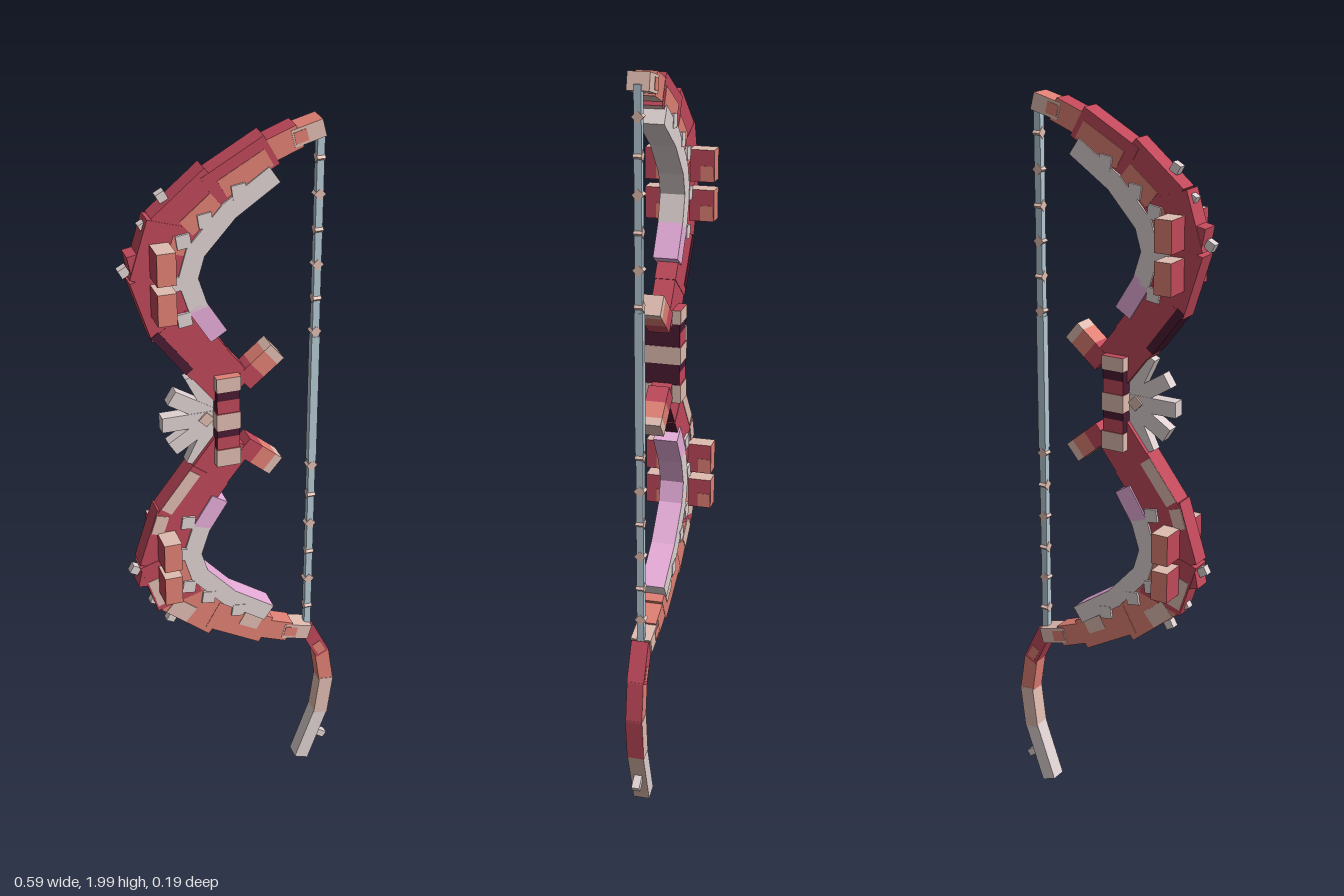
import * as THREE from 'three';

const mat = (name, color) => new THREE.MeshStandardMaterial({ name, color });

export function createModel() {
  const red = mat('crimson', 0xc0485a), salmon = mat('salmon', 0xe08074), tan = mat('tan', 0xe0bcb0);
  const bone = mat('bone', 0xe0d2d2), pink = mat('pink', 0xecb0de), dark = mat('dark plum', 0x4a1b32);
  const steel = mat('string grey', 0xb4c8d4);
  const model = new THREE.Group();
  model.name = 'bow';
  const MID = 1.23; // height of the mirror line between the two limbs

  const group = (name) => {
    const g = new THREE.Group();
    g.name = name;
    model.add(g);
    return g;
  };
  // box given by centre, size and tilt in the front plane
  const box = (parent, name, m, x, y, z, w, h, d, tilt = 0) => {
    const b = new THREE.Mesh(new THREE.BoxGeometry(w, h, d), m);
    b.name = name;
    b.position.set(x, y, z);
    b.rotation.z = tilt;
    parent.add(b);
    return b;
  };
  // straight bar from a to b; off shifts it sideways, ext lengthens both ends
  const bar = (parent, name, m, a, b, w, d, off = 0, ext = 0) => {
    const dx = b[0] - a[0], dy = b[1] - a[1], len = Math.hypot(dx, dy);
    return box(parent, name, m, (a[0] + b[0]) / 2 - dy / len * off, (a[1] + b[1]) / 2 + dx / len * off, 0,
      len + 2 * ext, w, d, Math.atan2(dy, dx));
  };
  const lerp = (a, b, t) => [a[0] + (b[0] - a[0]) * t, a[1] + (b[1] - a[1]) * t];

  // limb centre line from tip to grip, with a width per segment
  const limbPath = [[0.212, 1.976], [0.14, 1.957], [0.07, 1.93], [-0.06, 1.857], [-0.17, 1.766],
    [-0.208, 1.645], [-0.165, 1.51], [-0.085, 1.405], [-0.015, 1.315]];
  const limbWidth = [0.045, 0.06, 0.085, 0.115, 0.13, 0.13, 0.12, 0.115];
  const liningPath = [[0.085, 1.873], [-0.025, 1.798], [-0.11, 1.703], [-0.13, 1.634], [-0.105, 1.555], [-0.055, 1.475]];
  const studs = [[-0.14, 1.735], [-0.165, 1.625], [-0.14, 1.528], [-0.085, 1.782], [0, 1.845]];
  const spikes = [[-0.185, 1.845], [-0.23, 1.775], [-0.283, 1.665]];

  for (const s of [1, -1]) {
    const up = s > 0, side = up ? 'upper' : 'lower';
    const Y = (y) => MID + s * (y - MID);
    const P = (p) => [p[0], Y(p[1])];
    const limb = group(side + 'Limb');

    // overlapping limb blocks: colour of the flat, outer and inner faces
    const colours = up
      ? [[tan, salmon, tan], [salmon, red, tan], [red, red, tan], [red, red, red], [red, red, red], [red, red, red],
        [red, red, red], [red, red, red]]
      : [[tan, tan, tan], [salmon, salmon, salmon], [salmon, salmon, salmon], [salmon, salmon, salmon], [red, red, red],
        [red, red, red], [red, red, dark], [red, red, dark]];
    limbWidth.forEach((w, i) => {
      const [flat, outer, inner] = colours[i];
      const faces = [flat, flat, up ? inner : outer, up ? outer : inner, flat, flat];
      bar(limb, 'limbSegment', faces, P(limbPath[i]), P(limbPath[i + 1]), w, 0.056 - (i % 2) * 0.002, 0, i ? 0.015 : 0.004);
    });

    // painted patches showing on both faces
    const patch = (i, t0, t1, w, off, m) => {
      const a = P(limbPath[i]), b = P(limbPath[i + 1]);
      bar(limb, 'paintedPatch', m, lerp(a, b, t0), lerp(a, b, t1), w, 0.0585, off * s);
    };
    if (up) {
      patch(0, 0.55, 1.0, 0.03, 0, salmon);
      patch(2, 0.0, 0.9, 0.05, 0.012, salmon);
      patch(3, 0.1, 0.8, 0.05, 0.025, salmon);
      patch(4, 0.1, 0.45, 0.04, 0.03, salmon);
      patch(6, -0.15, 0.95, 0.024, -0.05, dark);
    } else {
      patch(0, 0.5, 1.0, 0.03, 0, salmon);
      patch(2, 0.1, 0.5, 0.04, 0.015, tan);
      patch(3, 0.5, 1.0, 0.05, -0.03, tan);
      patch(4, 0.0, 0.7, 0.06, -0.03, tan);
      patch(4, 0.3, 1.0, 0.05, 0.03, salmon);
      patch(5, 0.6, 1.0, 0.035, -0.045, tan);
      patch(6, 0.0, 1.0, 0.035, -0.042, tan);
    }

    // pale lining on the inner curve
    for (let i = 0; i < 5; i++) {
      const base = i === 4 ? pink : bone;
      const faces = [base, base, base, up ? base : pink, base, base];
      bar(limb, 'innerLining', faces, P(liningPath[i]), P(liningPath[i + 1]), 0.05, 0.066, 0, 0.006);
    }

    // studs through the faces and spikes along the outer edge
    for (const [x, y] of studs) box(limb, 'stud', bone, x, Y(y), 0, 0.036, 0.036, 0.069, s * 0.15);
    for (const [x, y] of spikes) box(limb, 'spike', bone, x, Y(y), 0, 0.024, 0.024, 0.022, s * 0.5);
    box(limb, 'spikeBase', red, -0.25, Y(1.69), 0, 0.05, 0.05, 0.05, s * 0.2);

    // cross blocks sticking out front and back
    for (const y of [1.695, 1.59]) {
      box(limb, 'crossBlock', [red, red, tan, red, salmon, salmon], -0.2, Y(y), 0, 0.048, 0.084, 0.186);
      for (const z of [-0.074, 0.046]) {
        box(limb, 'crossBlockPatch', salmon, -0.176, Y(y) - 0.02, z, 0.003, 0.04, 0.035);
      }
    }

    // short prong beside the grip
    const a = P([0.015, 1.325]), b = P([0.105, 1.4]);
    bar(limb, 'prongBase', red, a, lerp(a, b, 0.4), 0.056, 0.056);
    bar(limb, 'prongMiddle', salmon, lerp(a, b, 0.4), lerp(a, b, 0.8), 0.056, 0.056);
    bar(limb, 'prongTip', tan, lerp(a, b, 0.8), b, 0.056, 0.056);
  }

  // banded grip
  const grip = group('grip');
  const bands = [[1.1, 1.15, tan, 0.1], [1.15, 1.185, red, 0.094], [1.185, 1.207, dark, 0.094], [1.207, 1.255, tan, 0.1],
    [1.255, 1.292, red, 0.094], [1.292, 1.318, dark, 0.094], [1.318, 1.355, tan, 0.1]];
  for (const [y0, y1, m, d] of bands) {
    // the sides of the wrapping are dark, the top of the grip is red
    const faces = m === red ? [dark, dark, red, red, red, red] : [m, m, m === tan ? red : m, m, m, m];
    box(grip, 'gripBand', faces, -0.032, (y0 + y1) / 2, 0, d * 0.65, y1 - y0, d);
  }
  box(grip, 'gripTopPlate', [tan, tan, salmon, tan, tan, tan], -0.032, 1.356, 0.025, 0.065, 0.003, 0.05);

  // fan of rays on the outer side of the grip
  const fan = group('rayFan');
  for (let i = -2; i <= 2; i++) {
    const t = Math.PI + i * 0.56, r = 0.14 + (i % 2 ? 0 : 0.005);
    bar(fan, 'ray', bone, [-0.055, MID], [-0.055 + r * Math.cos(t), MID + r * Math.sin(t)], 0.042, 0.034 - Math.abs(i) * 0.002);
  }
  box(fan, 'fanGem', tan, -0.083, MID, 0, 0.03, 0.03, 0.044, Math.PI / 4);

  // string with its knots
  const string = group('string');
  box(string, 'cord', steel, 0.215, MID, 0, 0.019, 1.48, 0.019);
  box(string, 'cordWrap', steel, 0.215, MID, 0, 0.022, 0.37, 0.022);
  for (const s of [1, -1]) {
    for (let i = 0; i < 6; i++) {
      const knot = box(string, 'knot', tan, 0.215, MID + s * (0.2 + i * 0.093), 0, 0.022, 0.022, 0.022);
      if (i % 2) knot.rotation.x = Math.PI / 4;
      else knot.rotation.z = Math.PI / 4;
    }
  }

  // trailing tail below the lower tip
  const tail = group('tail');
  const tailPath = [[0.212, 0.49], [0.258, 0.397], [0.274, 0.293], [0.26, 0.178], [0.203, 0.013]];
  const tailColours = [red, [salmon, salmon, red, salmon, salmon, salmon],
    [tan, tan, red, tan, tan, tan], [bone, bone, tan, bone, bone, bone]];
  tailColours.forEach((m, i) => bar(tail, 'tailSegment', m, tailPath[i], tailPath[i + 1], 0.042, 0.047 - (i % 2) * 0.002, 0, i < 3 ? 0.005 : 0));
  bar(tail, 'tailPatch', salmon, [0.238, 0.435], [0.257, 0.4], 0.025, 0.049);
  bar(tail, 'tailBarb', bone, [0.235, 0.102], [0.28, 0.07], 0.02, 0.022);
  return model;
}
